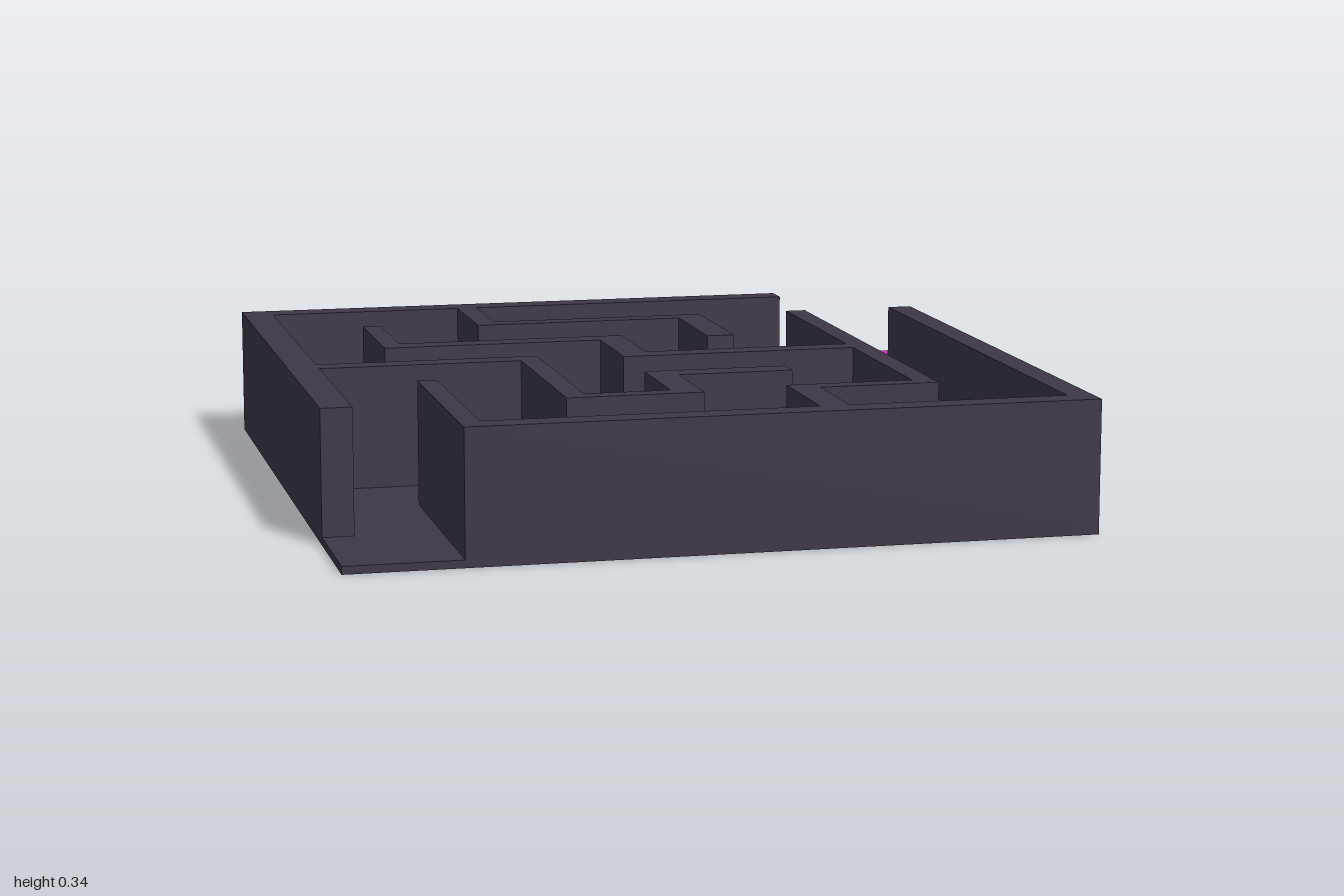
import * as THREE from 'three';

const FLOOR = 0.02, TOP = 0.34;

// Wall outlines as [x, z] corners: one run from the back left, one from the front right.
const BACK_LEFT = [
  [-0.985, -0.885], [0.585, -0.885], [0.585, -0.81], [-0.32, -0.81], [-0.32, -0.545],
  [0.275, -0.545], [0.275, -0.165], [0.2, -0.165], [0.2, -0.49], [-0.375, -0.49],
  [-0.375, -0.81], [-0.905, -0.81], [-0.905, 0.05], [-0.32, 0.05], [-0.32, 0.63],
  [-0.1, 0.63], [-0.1, 0.35], [0.275, 0.35], [0.275, 0.42], [-0.025, 0.42],
  [-0.025, 0.68], [-0.375, 0.68], [-0.375, 0.115], [-0.905, 0.115], [-0.905, 0.68],
  [-0.985, 0.68],
];
const FRONT_RIGHT = [
  [0.9, -0.545], [0.9, 1], [-0.69, 1], [-0.69, 0.35], [-0.64, 0.35], [-0.64, 0.93],
  [0.2, 0.93], [0.2, 0.63], [0.53, 0.63], [0.53, 0.115], [-0.1, 0.115],
  [-0.1, -0.165], [-0.69, -0.165], [-0.69, -0.545], [-0.64, -0.545], [-0.64, -0.23],
  [-0.025, -0.23], [-0.025, 0.05], [0.53, 0.05], [0.53, -0.545], [0.585, -0.545],
  [0.585, 0.68], [0.275, 0.68], [0.275, 0.93], [0.835, 0.93], [0.835, -0.545],
];

// Raises a ground-plan outline into upright walls standing on the floor
function wallGeometry(outline) {
  const shape = new THREE.Shape(outline.map(([x, z]) => new THREE.Vector2(x, -z)));
  return new THREE.ExtrudeGeometry(shape, { depth: TOP - FLOOR, bevelEnabled: false })
    .rotateX(-Math.PI / 2)
    .translate(0, FLOOR, 0);
}

// Box given by its lowest and highest corners
function boxGeometry([x0, y0, z0], [x1, y1, z1]) {
  return new THREE.BoxGeometry(x1 - x0, y1 - y0, z1 - z0)
    .translate((x0 + x1) / 2, (y0 + y1) / 2, (z0 + z1) / 2);
}

export function createModel() {
  const stone = new THREE.MeshStandardMaterial({ color: 0x3d3646 });
  stone.name = 'dark stone';
  const magenta = new THREE.MeshStandardMaterial({ color: 0xcc2cbc });
  magenta.name = 'magenta';

  const model = new THREE.Group();
  model.name = 'maze';
  const add = (name, geometry, material) => {
    const mesh = new THREE.Mesh(geometry, material);
    mesh.name = name;
    model.add(mesh);
  };

  add('floor', boxGeometry([-0.985, 0, -0.885], [0.9, FLOOR, 1]), stone);
  add('backLeftWalls', wallGeometry(BACK_LEFT), stone);
  add('frontRightWalls', wallGeometry(FRONT_RIGHT), stone);

  // Small block floating outside the back right exit
  add('playerBlock', boxGeometry([0.917, 0.045, -1], [0.985, 0.135, -0.87]), magenta);

  return model;
}
